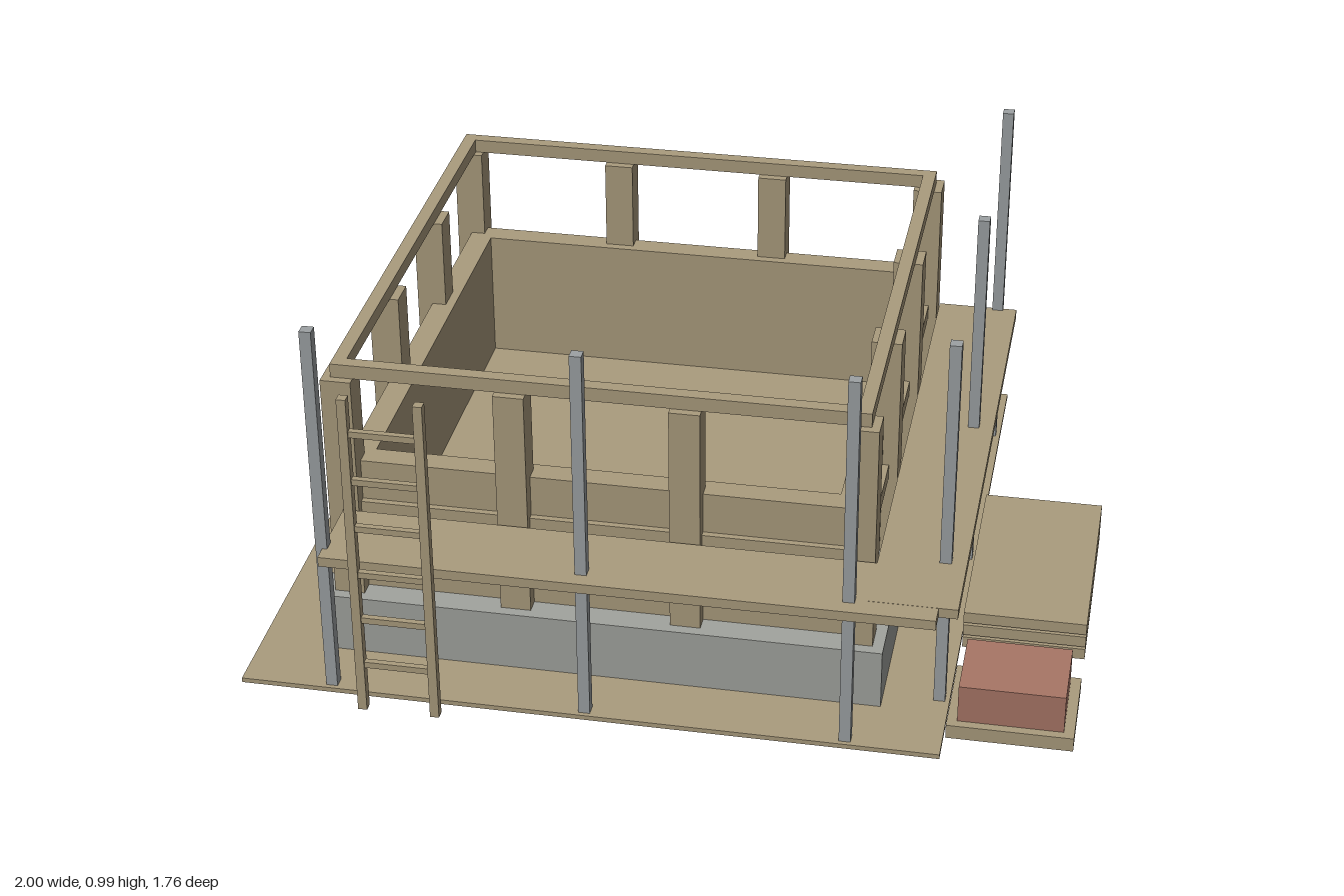
import * as THREE from 'three';

const mat = (name, color) => new THREE.MeshStandardMaterial({ name, color });

export function createModel() {
  const model = new THREE.Group();
  model.name = 'buildingSite';
  const timber = mat('timber', 0xab9c7e);
  const concrete = mat('concrete', 0xa2a49f);
  const steel = mat('steel', 0x9da2a4);
  const brick = mat('brick', 0xa87666);

  // Box given by its limits on each axis
  const box = (name, material, [x0, x1], [y0, y1], [z0, z1], parent = model) => {
    const mesh = new THREE.Mesh(new THREE.BoxGeometry(x1 - x0, y1 - y0, z1 - z0), material);
    mesh.name = name;
    mesh.position.set((x0 + x1) / 2, (y0 + y1) / 2, (z0 + z1) / 2);
    parent.add(mesh);
    return mesh;
  };

  // Square ring of four bars, around the parent's centre
  const ring = (name, material, inner, outer, y, parent) => {
    for (const s of [-1, 1]) {
      const side = s < 0 ? [-outer, -inner] : [inner, outer];
      box(name, material, [-outer, outer], y, side, parent);
      box(name, material, side, y, [-inner, inner], parent);
    }
  };

  box('groundBoard', timber, [-1, 0.695], [0, 0.012], [-0.88, 0.815]);

  // House frame
  const house = new THREE.Group();
  house.name = 'house';
  house.position.set(-0.152, 0, -0.035);
  model.add(house);
  box('foundation', concrete, [-0.687, 0.687], [0.006, 0.165], [-0.687, 0.687], house);
  box('floor', timber, [-0.57, 0.57], [0.16, 0.175], [-0.57, 0.57], house);
  ring('wall', timber, 0.563, 0.622, [0.165, 0.52], house);
  ring('wallRail', timber, 0.615, 0.638, [0.375, 0.415], house);
  ring('topBeam', timber, 0.607, 0.64, [0.755, 0.79], house);

  // Posts around the edge of a four by four grid
  const spots = [-0.623, -0.208, 0.208, 0.623];
  spots.forEach((x, i) => spots.forEach((z, j) => {
    if (i % 3 && j % 3) return;
    box('post', timber, [x - 0.037, x + 0.037], [0.165, 0.755], [z - 0.037, z + 0.037], house);
  }));

  // Scaffold: L-shaped deck and poles
  box('frontDeck', timber, [-0.775, 0.675], [0.38, 0.405], [0.63, 0.842]);
  box('sideDeck', timber, [0.513, 0.72], [0.3805, 0.4055], [-0.657, 0.79]);
  const poles = [
    [-0.777, 0.79], [-0.155, 0.79], [0.47, 0.79],
    [0.67, -0.66], [0.67, -0.035], [0.67, 0.59],
  ];
  for (const [x, z] of poles) {
    box('scaffoldPole', steel, [x - 0.014, x + 0.014], [0.01, 0.985], [z - 0.014, z + 0.014]);
  }

  // Ladder
  const ladder = new THREE.Group();
  ladder.name = 'ladder';
  model.add(ladder);
  for (const x of [-0.68, -0.503]) {
    box('ladderRail', timber, [x - 0.011, x + 0.011], [0.005, 0.86], [0.853, 0.876], ladder);
  }
  for (let i = 0; i < 6; i++) {
    const y = 0.133 + i * 0.127;
    box('ladderRung', timber, [-0.68, -0.503], [y - 0.008, y + 0.008], [0.857, 0.872], ladder);
  }

  // Stacked boards
  for (let i = 0; i < 3; i++) {
    const y = 0.01 + i * 0.036;
    box('stackedBoard', timber, [0.7, 1], [y, y + 0.029], [-0.182, 0.367]);
  }

  // Bricks on a pallet
  box('pallet', timber, [0.7, 1], [0.006, 0.042], [0.493, 0.738]);
  box('brickPile', brick, [0.724, 0.975], [0.042, 0.14], [0.518, 0.716]);

  return model;
}
